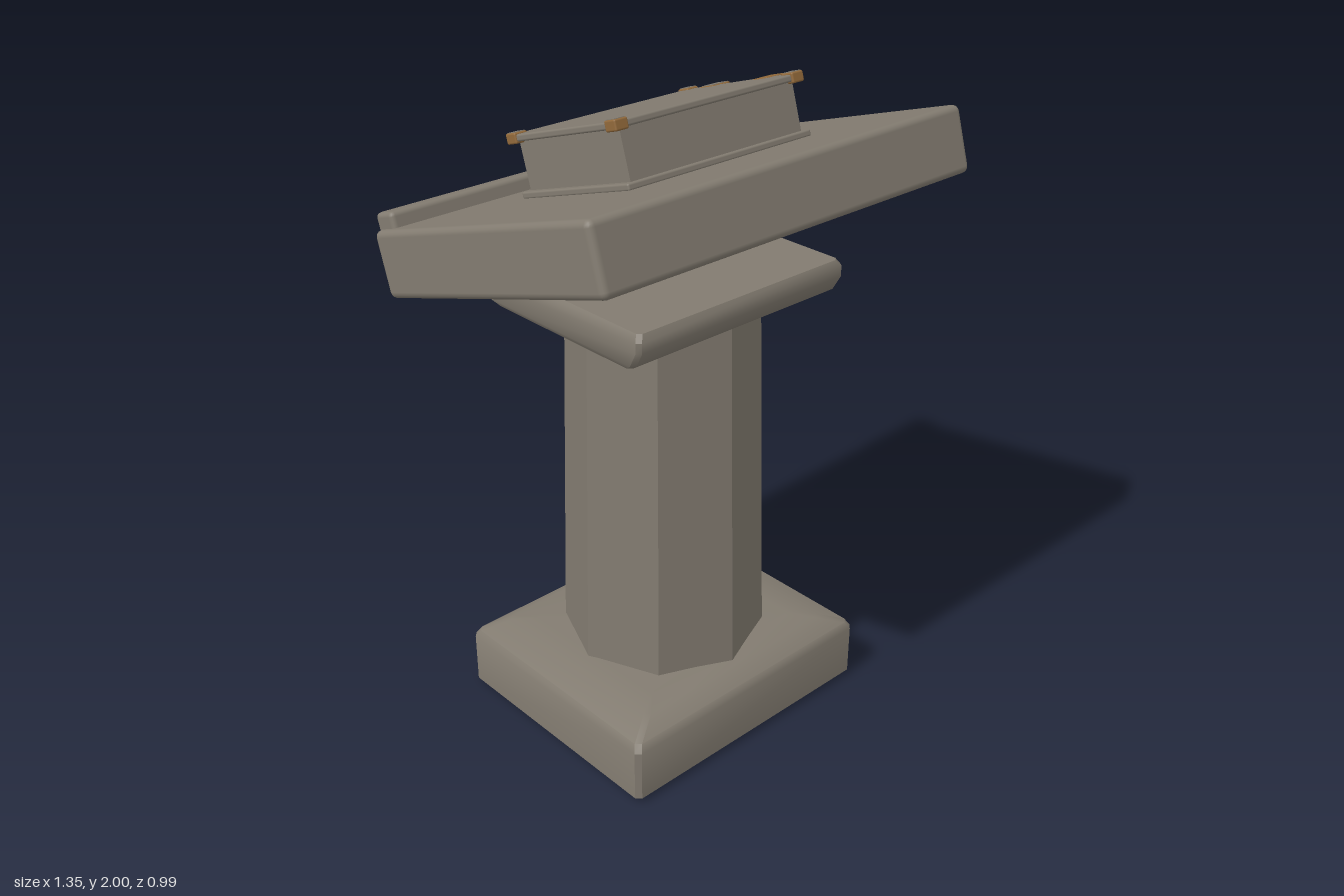
import * as THREE from 'three';
import { toCreasedNormals } from 'three/addons/utils/BufferGeometryUtils.js';
import { RoundedBoxGeometry } from 'three/addons/geometries/RoundedBoxGeometry.js';

const stone = new THREE.MeshStandardMaterial({ name: 'stone', color: 0x827b70 });
const bronze = new THREE.MeshStandardMaterial({ name: 'bronze', color: 0x90683a });

function add(parent, name, geometry, material, x, y, z) {
  const mesh = new THREE.Mesh(geometry, material);
  mesh.name = name;
  mesh.position.set(x, y, z);
  parent.add(mesh);
  return mesh;
}

// Stacked rectangles with chamfered corners; each ring is [half width, half depth, y]
function loft(rings, chamfer) {
  const positions = [];
  const index = [];
  const n = 8;
  for (const [w, d, y] of rings) {
    const a = w - chamfer;
    const b = d - chamfer;
    const ring = [[w, b], [w, -b], [a, -d], [-a, -d], [-w, -b], [-w, b], [-a, d], [a, d]];
    for (const [x, z] of ring) positions.push(x, y, z);
  }
  for (let r = 0; r < rings.length - 1; r++) {
    for (let i = 0; i < n; i++) {
      const p = r * n + i;
      const q = r * n + (i + 1) % n;
      index.push(p, q, q + n, p, q + n, p + n);
    }
  }
  const top = (rings.length - 1) * n;
  for (let i = 1; i < n - 1; i++) {
    index.push(0, i + 1, i, top, top + i, top + i + 1);
  }
  const geometry = new THREE.BufferGeometry();
  geometry.setAttribute('position', new THREE.Float32BufferAttribute(positions, 3));
  geometry.setIndex(index);
  return toCreasedNormals(geometry, 0.6);
}

// Box with softly rounded edges
const slab = (w, h, d, r) => new RoundedBoxGeometry(w, h, d, 2, r);

export function createModel() {
  const model = new THREE.Group();
  model.name = 'lectern';
  const axisZ = -0.047;

  // Foot with a sloping shoulder
  add(model, 'base', loft([
    [0.452, 0.388, 0], [0.468, 0.403, 0.018], [0.468, 0.403, 0.185],
    [0.455, 0.39, 0.208], [0.37, 0.335, 0.24], [0.3, 0.27, 0.248],
  ], 0.015), stone, 0, 0, axisZ);

  // Tapered octagonal column
  const column = toCreasedNormals(new THREE.CylinderGeometry(0.284, 0.318, 1.17, 8), 0.3);
  add(model, 'column', column, stone, 0, 0.795, axisZ);

  // Cap under the desk
  add(model, 'cap', loft([
    [0.375, 0.285, 1.358], [0.39, 0.315, 1.378], [0.393, 0.342, 1.425],
    [0.393, 0.342, 1.455], [0.38, 0.33, 1.475],
  ], 0.012), stone, 0, 0, axisZ);

  // Sloping desk
  const desk = new THREE.Group();
  desk.name = 'desk';
  desk.position.set(0, 1.67, 0.011);
  desk.rotation.x = -THREE.MathUtils.degToRad(17.4);
  model.add(desk);
  add(desk, 'board', slab(1.345, 0.192, 0.967, 0.02), stone, 0, 0, 0);
  add(desk, 'ledge', slab(1.3, 0.095, 0.085, 0.015), stone, 0, 0.094, -0.447);

  // Closed book
  const book = new THREE.Group();
  book.name = 'book';
  book.position.set(0, 0, -0.004);
  desk.add(book);
  add(book, 'backCover', slab(0.67, 0.02, 0.465, 0.006), stone, 0, 0.104, 0);
  add(book, 'pages', new THREE.BoxGeometry(0.625, 0.15, 0.435), stone, 0, 0.18, 0);
  add(book, 'frontCover', slab(0.67, 0.02, 0.465, 0.006), stone, 0, 0.26, 0);

  // Metal corners with stone-coloured inlays
  for (const sx of [-1, 1]) {
    for (const sz of [-1, 1]) {
      const x = sx * 0.318;
      const z = sz * 0.217;
      add(book, 'corner', slab(0.044, 0.03, 0.044, 0.005), bronze, x, 0.26, z);
      add(book, 'cornerInlay', new THREE.BoxGeometry(0.034, 0.004, 0.034), stone, x, 0.2745, z);
    }
  }

  // Clasps down one side
  for (const z of [-0.112, 0.112]) {
    add(book, 'clasp', slab(0.07, 0.145, 0.058, 0.004), bronze, 0.33, 0.2, z);
  }
  add(book, 'claspInlay', new THREE.BoxGeometry(0.062, 0.004, 0.048), stone, 0.33, 0.272, -0.112);

  return model;
}
